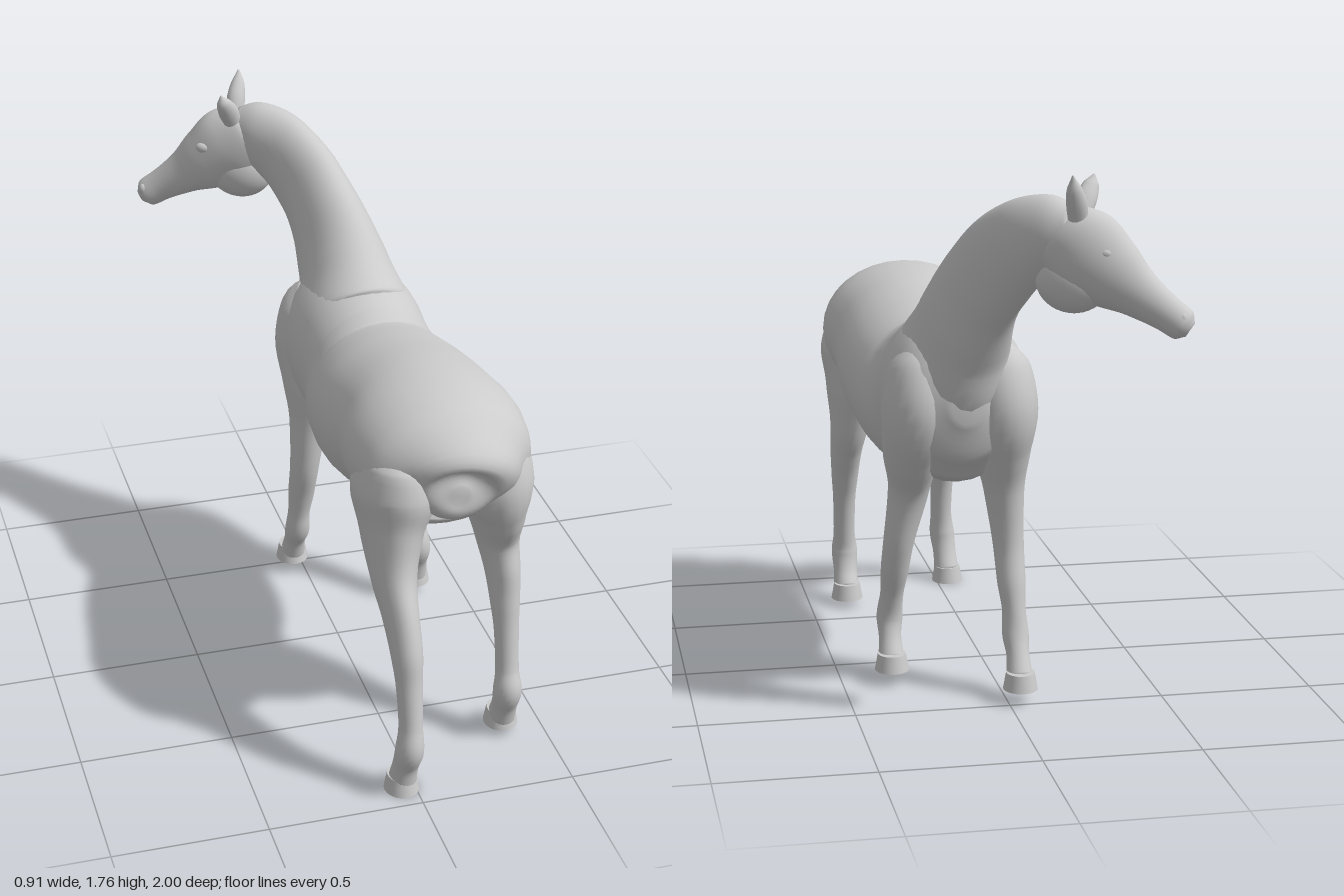
import * as THREE from 'three';

const material = new THREE.MeshStandardMaterial({ color: 0xcccccc });
const Y = new THREE.Vector3(0, 1, 0), Z = new THREE.Vector3(0, 0, 1);

// Smooth skin through oval sections [x, y, z, half width, half depth], closed at both ends
function loft(sections, ref, steps = 6, sides = 32) {
  const path = new THREE.CatmullRomCurve3(sections.map(s => new THREE.Vector3(s[0], s[1], s[2])));
  const size = new THREE.CatmullRomCurve3(sections.map(s => new THREE.Vector3(s[3], s[4], 0)), false, 'catmullrom', 0.4);
  const rings = (sections.length - 1) * steps;
  const pos = [], idx = [];
  for (let i = 0; i <= rings; i++) {
    const t = i / rings;
    const c = path.getPoint(t), r = size.getPoint(t), dir = path.getTangent(t);
    const side = dir.clone().cross(ref).normalize();
    const up = side.clone().cross(dir);
    for (let j = 0; j < sides; j++) {
      const a = (j / sides) * Math.PI * 2;
      const p = c.clone().addScaledVector(side, r.x * Math.cos(a)).addScaledVector(up, r.y * Math.sin(a));
      pos.push(p.x, p.y, p.z);
    }
  }
  const first = pos.length / 3, last = first + 1;
  pos.push(...path.getPoint(0).toArray(), ...path.getPoint(1).toArray());
  for (let j = 0; j < sides; j++) {
    const k = (j + 1) % sides, e = rings * sides;
    for (let i = 0; i < rings; i++) {
      const a = i * sides + j, b = i * sides + k;
      idx.push(a, a + sides, b, b, a + sides, b + sides);
    }
    idx.push(first, j, k, last, e + k, e + j);
  }
  const g = new THREE.BufferGeometry();
  g.setAttribute('position', new THREE.Float32BufferAttribute(pos, 3));
  g.setIndex(idx);
  g.computeVertexNormals();
  return g;
}

export function createModel() {
  const model = new THREE.Group();
  model.name = 'horse';
  const add = (name, geometry, parent = model) => {
    const m = new THREE.Mesh(geometry, material);
    m.name = name;
    parent.add(m);
    return m;
  };
  const ball = (name, parent, p, s) => {
    const m = add(name, new THREE.SphereGeometry(1, 28, 20), parent);
    m.position.set(...p);
    m.scale.set(...s);
    return m;
  };

  // Trunk, from rump to chest
  add('trunk', loft([
    [0.155, 1.0, 0.825, 0.03, 0.03],
    [0.155, 1.0, 0.815, 0.11, 0.10],
    [0.16, 1.02, 0.775, 0.20, 0.165],
    [0.16, 1.035, 0.69, 0.27, 0.215],
    [0.16, 1.04, 0.55, 0.293, 0.236],
    [0.16, 1.02, 0.40, 0.28, 0.25],
    [0.155, 0.965, 0.20, 0.287, 0.265],
    [0.155, 0.93, 0.0, 0.265, 0.262],
    [0.15, 0.95, -0.12, 0.232, 0.27],
    [0.14, 0.985, -0.25, 0.235, 0.287],
    [0.14, 1.0, -0.38, 0.225, 0.265],
    [0.14, 1.0, -0.47, 0.17, 0.19],
    [0.14, 1.0, -0.515, 0.05, 0.06],
  ], Y));

  // Neck, rising and turning to the side
  add('neck', loft([
    [0.14, 1.0, -0.18, 0.12, 0.18],
    [0.14, 1.08, -0.29, 0.19, 0.245],
    [0.13, 1.225, -0.40, 0.145, 0.195],
    [0.10, 1.36, -0.50, 0.11, 0.17],
    [0.06, 1.46, -0.60, 0.092, 0.155],
    [0.0, 1.54, -0.70, 0.085, 0.135],
    [-0.07, 1.58, -0.77, 0.08, 0.115],
    [-0.13, 1.59, -0.82, 0.06, 0.075],
  ], Y));

  // Head with cheeks, eyes, nostrils and ears
  const head = new THREE.Group();
  head.name = 'head';
  model.add(head);
  add('skull', loft([
    [-0.06, 1.60, -0.775, 0.05, 0.06],
    [-0.095, 1.572, -0.79, 0.08, 0.11],
    [-0.155, 1.525, -0.825, 0.088, 0.135],
    [-0.23, 1.465, -0.86, 0.078, 0.112],
    [-0.31, 1.405, -0.90, 0.056, 0.074],
    [-0.38, 1.355, -0.935, 0.047, 0.056],
    [-0.425, 1.322, -0.957, 0.045, 0.05],
    [-0.445, 1.308, -0.965, 0.022, 0.025],
  ], Y), head);
  const turn = Math.atan2(0.17, -0.3);
  ball('cheeks', head, [-0.125, 1.44, -0.805], [0.115, 0.1, 0.075]).rotation.y = turn;
  for (const s of [1, -1]) {
    const side = new THREE.Vector3(0.5, 0, -0.87).multiplyScalar(s);
    const at = (x, y, z, d) => [x + side.x * d, y, z + side.z * d];
    ball('eye', head, at(-0.225, 1.535, -0.855, 0.064), [0.026, 0.018, 0.016]).rotation.y = turn;
    ball('nostril', head, at(-0.43, 1.345, -0.958, 0.027), [0.017, 0.02, 0.015]).rotation.y = turn;
  }
  add('rightEar', loft([
    [-0.155, 1.63, -0.775, 0.03, 0.025], [-0.175, 1.675, -0.755, 0.034, 0.026],
    [-0.195, 1.715, -0.735, 0.025, 0.02], [-0.205, 1.745, -0.73, 0.003, 0.003],
  ], Z, 5, 16), head);
  add('leftEar', loft([
    [-0.13, 1.62, -0.85, 0.03, 0.025], [-0.12, 1.675, -0.87, 0.032, 0.027],
    [-0.108, 1.72, -0.89, 0.024, 0.02], [-0.10, 1.765, -0.905, 0.003, 0.003],
  ], Z, 5, 16), head);

  // Each leg: sections from the top down, then the hoof [x, base y, z]
  const legs = {
    leftHindLeg: [[
      [0.31, 1.12, 0.62, 0.06, 0.09], [0.315, 1.06, 0.62, 0.11, 0.16], [0.325, 0.95, 0.615, 0.13, 0.185],
      [0.345, 0.83, 0.60, 0.095, 0.165], [0.36, 0.70, 0.60, 0.068, 0.112], [0.368, 0.60, 0.635, 0.056, 0.085],
      [0.37, 0.50, 0.665, 0.048, 0.06], [0.37, 0.40, 0.69, 0.04, 0.045], [0.368, 0.26, 0.717, 0.038, 0.042],
      [0.366, 0.19, 0.732, 0.046, 0.051], [0.366, 0.12, 0.71, 0.042, 0.042], [0.366, 0.06, 0.685, 0.045, 0.05],
    ], [0.366, 0.03, 0.675]],
    rightHindLeg: [[
      [0.0, 1.12, 0.64, 0.06, 0.09], [0.0, 1.06, 0.645, 0.11, 0.17], [-0.005, 0.95, 0.655, 0.13, 0.185],
      [-0.02, 0.83, 0.69, 0.095, 0.15], [-0.03, 0.70, 0.755, 0.07, 0.108], [-0.028, 0.60, 0.825, 0.056, 0.088],
      [-0.025, 0.50, 0.882, 0.05, 0.064], [-0.024, 0.40, 0.91, 0.042, 0.046], [-0.025, 0.26, 0.935, 0.038, 0.044],
      [-0.03, 0.18, 0.945, 0.045, 0.052], [-0.036, 0.11, 0.925, 0.042, 0.042], [-0.04, 0.04, 0.905, 0.045, 0.05],
    ], [-0.042, 0.005, 0.902]],
    leftForeLeg: [[
      [0.26, 1.16, -0.34, 0.05, 0.07], [0.265, 1.09, -0.355, 0.10, 0.12], [0.275, 0.96, -0.36, 0.112, 0.145],
      [0.285, 0.82, -0.30, 0.092, 0.13], [0.285, 0.68, -0.25, 0.067, 0.085], [0.315, 0.50, -0.23, 0.05, 0.06],
      [0.325, 0.40, -0.205, 0.046, 0.05], [0.33, 0.30, -0.167, 0.038, 0.043], [0.335, 0.215, -0.145, 0.043, 0.045],
      [0.337, 0.15, -0.165, 0.037, 0.036], [0.337, 0.08, -0.19, 0.043, 0.045],
    ], [0.337, 0.05, -0.202]],
    rightForeLeg: [[
      [0.02, 1.16, -0.36, 0.05, 0.07], [0.015, 1.09, -0.38, 0.10, 0.12], [0.005, 0.96, -0.39, 0.112, 0.14],
      [0.0, 0.82, -0.355, 0.092, 0.12], [-0.01, 0.68, -0.34, 0.065, 0.08], [-0.025, 0.50, -0.338, 0.05, 0.06],
      [-0.03, 0.38, -0.365, 0.046, 0.05], [-0.035, 0.29, -0.382, 0.038, 0.044], [-0.038, 0.21, -0.395, 0.043, 0.045],
      [-0.04, 0.15, -0.425, 0.037, 0.038], [-0.04, 0.08, -0.455, 0.043, 0.045],
    ], [-0.04, 0.05, -0.468]],
  };
  for (const [name, [sections, hoof]] of Object.entries(legs)) {
    const leg = new THREE.Group();
    leg.name = name;
    model.add(leg);
    add('limb', loft(sections, Z, 5, 24), leg);
    const h = add('hoof', new THREE.CylinderGeometry(0.046, 0.056, 0.055, 24), leg);
    h.position.set(hoof[0], hoof[1] + 0.0275, hoof[2]);
    h.scale.z = 1.12;
  }
  return model;
}
